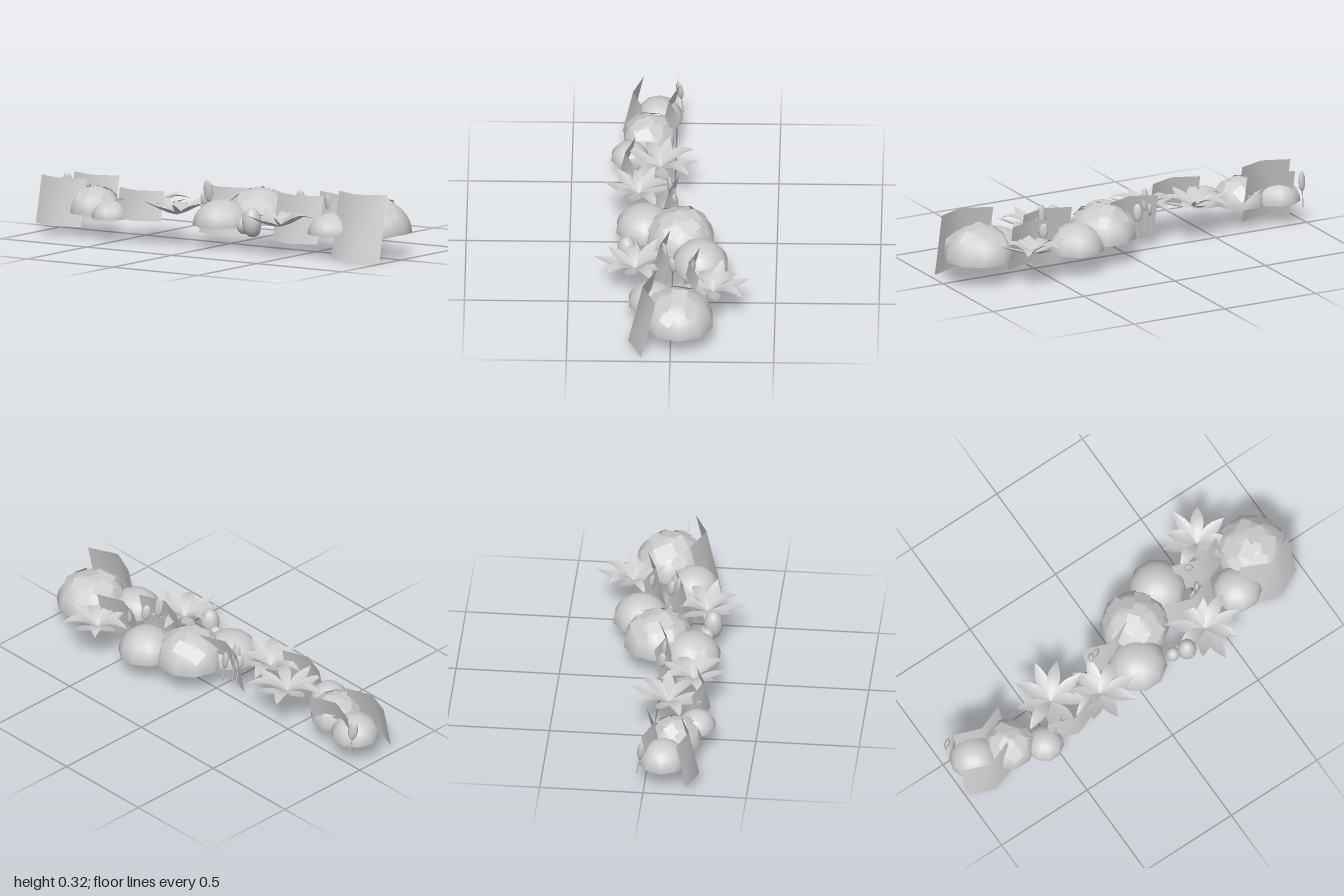
import * as THREE from 'three';

const mat = new THREE.MeshStandardMaterial({ color: 0xcccccc, side: THREE.DoubleSide });

let seed = 7;
const rand = () => (seed = (seed * 16807) % 2147483647) / 2147483647;

function add(parent, geometry, name, x = 0, y = 0, z = 0) {
  const mesh = new THREE.Mesh(geometry, mat);
  mesh.name = name;
  mesh.position.set(x, y, z);
  parent.add(mesh);
  return mesh;
}

// Panel folded forward along its middle and leaning back
function bentPanel(x0, x1, y0, y1, zBack, fold, lean) {
  const g = new THREE.PlaneGeometry(x1 - x0, y1 - y0, 2, 1);
  const p = g.attributes.position;
  for (let i = 0; i < p.count; i++) {
    const up = p.getY(i) / (y1 - y0) + 0.5;
    const mid = 1 - Math.abs(p.getX(i)) / ((x1 - x0) / 2);
    p.setZ(i, fold * mid - lean * up);
  }
  g.translate((x0 + x1) / 2, (y0 + y1) / 2, zBack);
  g.computeVertexNormals();
  return g;
}

// Pointed leaf running along +z, narrow at the base, arching as it rises
function leafGeometry(length, width, rise, arch) {
  const g = new THREE.PlaneGeometry(1, 1, 2, 6);
  const p = g.attributes.position;
  for (let i = 0; i < p.count; i++) {
    const t = 0.5 - p.getY(i), side = p.getX(i) * 2;
    const w = width * 0.5 * (0.12 * (1 - t) + Math.sin(Math.PI * t));
    p.setXYZ(i, side * w, rise * t + arch * Math.sin(Math.PI * t) + Math.abs(side) * w * 0.3, t * length);
  }
  g.computeVertexNormals();
  return g;
}

// Rosette of leaves, alternately arched and upswept
function rosette(x, y, z, radius, count, turn) {
  const plant = new THREE.Group();
  plant.name = 'rosettePlant';
  plant.position.set(x, y, z);
  for (let i = 0; i < count; i++) {
    const length = radius * (0.88 + 0.2 * rand());
    const arch = i % 2 ? 0.03 : -0.008;
    const rise = (i % 2 ? 0.02 : 0.055) + 0.02 * rand();
    const leaf = add(plant, leafGeometry(length, 0.06, rise, arch), 'leaf');
    leaf.rotation.y = turn + (i / count) * Math.PI * 2 + (rand() - 0.5) * 0.2;
  }
  return plant;
}

// Loose square leaves lying over the crown of a bush
function patches(parent, r, h, count, size) {
  for (let i = 0; i < count; i++) {
    const a = i * 2.4, tilt = 0.95 * Math.sqrt((i + 0.3) / count);
    const n = new THREE.Vector3(Math.sin(tilt) * Math.cos(a), Math.cos(tilt), Math.sin(tilt) * Math.sin(a));
    const s = size * (0.8 + 0.4 * rand());
    const patch = add(parent, new THREE.PlaneGeometry(s, s * 0.8), 'leafPatch');
    patch.position.set(n.x * r, n.y * h, n.z * r).multiplyScalar(1.005);
    n.x += (rand() - 0.5) * 0.3;
    n.z += (rand() - 0.5) * 0.3;
    patch.quaternion.setFromUnitVectors(new THREE.Vector3(0, 0, 1), n.normalize());
    patch.rotateZ(rand() * 3);
  }
}

// Flat paddle bud on a thin stem, leaning forward
function bud(x, z, bottom, top, turn) {
  const g = new THREE.Group();
  g.name = 'bud';
  g.position.set(x, 0, z);
  g.rotation.set(0.12, turn, 0.04);
  const height = (top - bottom) * 0.55;
  const head = add(g, new THREE.SphereGeometry(1, 8, 8), 'budHead', 0, top - height / 2, 0);
  head.scale.set(0.024, height / 2, 0.013);
  const stemLength = top - height - bottom + 0.01;
  add(g, new THREE.CylinderGeometry(0.003, 0.004, stemLength, 5), 'budStem', 0, bottom + stemLength / 2, 0);
  return g;
}

export function createModel() {
  const model = new THREE.Group();
  model.name = 'plantingStrip';

  // Bushes: x, z, radius, base, height, patch count, patch size
  const bushes = [
    [-0.88, 0.085, 0.118, 0.11, 0.11, 0, 0],
    [-0.705, 0.13, 0.127, 0.11, 0.125, 11, 0.062],
    [-0.555, 0.22, 0.092, 0.105, 0.085, 0, 0],
    [0.043, 0.138, 0.142, 0.11, 0.123, 0, 0],
    [0.145, -0.035, 0.168, 0.115, 0.162, 13, 0.07],
    [0.345, -0.135, 0.138, 0.11, 0.13, 0, 0],
    [0.657, 0.09, 0.12, 0.11, 0.1, 0, 0],
    [0.827, -0.038, 0.173, 0.117, 0.16, 10, 0.085],
  ];
  for (const [x, z, r, base, h, count, size] of bushes) {
    const bush = new THREE.Group();
    bush.name = 'bush';
    bush.position.set(x, base, z);
    const dome = add(bush, new THREE.SphereGeometry(1, 10, 8, 0, Math.PI * 2, 0, Math.PI / 2), 'dome');
    dome.scale.set(r, h, r);
    patches(bush, r, h, count, size);
    model.add(bush);
  }

  // Folded panels: x0, x1, y0, y1, rear z at the bottom, fold, lean
  const panels = [
    [-1.0, -0.735, 0.045, 0.275, 0.21, 0.05, 0.05],
    [-0.93, -0.665, 0.045, 0.275, 0.035, 0.05, 0.05],
    [-0.52, -0.26, 0.11, 0.255, 0.22, 0.05, 0.03],
    [-0.17, 0.093, 0.045, 0.275, 0.025, 0.05, 0.05],
    [0.285, 0.55, 0.045, 0.275, 0.06, 0.05, 0.05],
    [0.43, 0.69, 0.045, 0.275, -0.085, 0.05, 0.05],
    [0.685, 0.968, 0, 0.32, 0.14, 0.065, 0.07],
  ];
  for (const p of panels) add(model, bentPanel(...p), 'foldedPanel');

  // Spiky plants
  model.add(
    rosette(-0.42, 0.15, 0.07, 0.185, 9, 0.2),
    rosette(-0.2, 0.145, 0.17, 0.17, 9, 0),
    rosette(0.62, 0.15, -0.2, 0.17, 9, 0.35),
    rosette(0.41, 0.135, 0.18, 0.185, 9, 0),
  );

  // Round fruit: x, y, z, width radius, height radius
  const fruits = [
    [0.21, 0.125, 0.195, 0.034, 0.04],
    [0.275, 0.15, 0.22, 0.047, 0.072],
    [0.265, 0.11, 0.19, 0.034, 0.035],
  ];
  for (const [x, y, z, r, h] of fruits) {
    add(model, new THREE.SphereGeometry(1, 12, 10), 'fruit', x, y, z).scale.set(r, h, r);
  }

  // Buds among the bushes
  model.add(
    bud(-0.96, -0.045, 0.09, 0.27, 0.6),
    bud(-0.11, -0.015, 0.1, 0.308, 0.3),
    bud(-0.06, -0.025, 0.08, 0.24, -0.4),
    bud(-0.14, -0.02, 0.1, 0.25, 1),
    bud(0.445, 0, 0.1, 0.305, 0.4),
    bud(0.51, -0.12, 0.1, 0.27, -0.5),
    bud(0.49, -0.035, 0.1, 0.25, 0.9),
  );
  return model;
}
